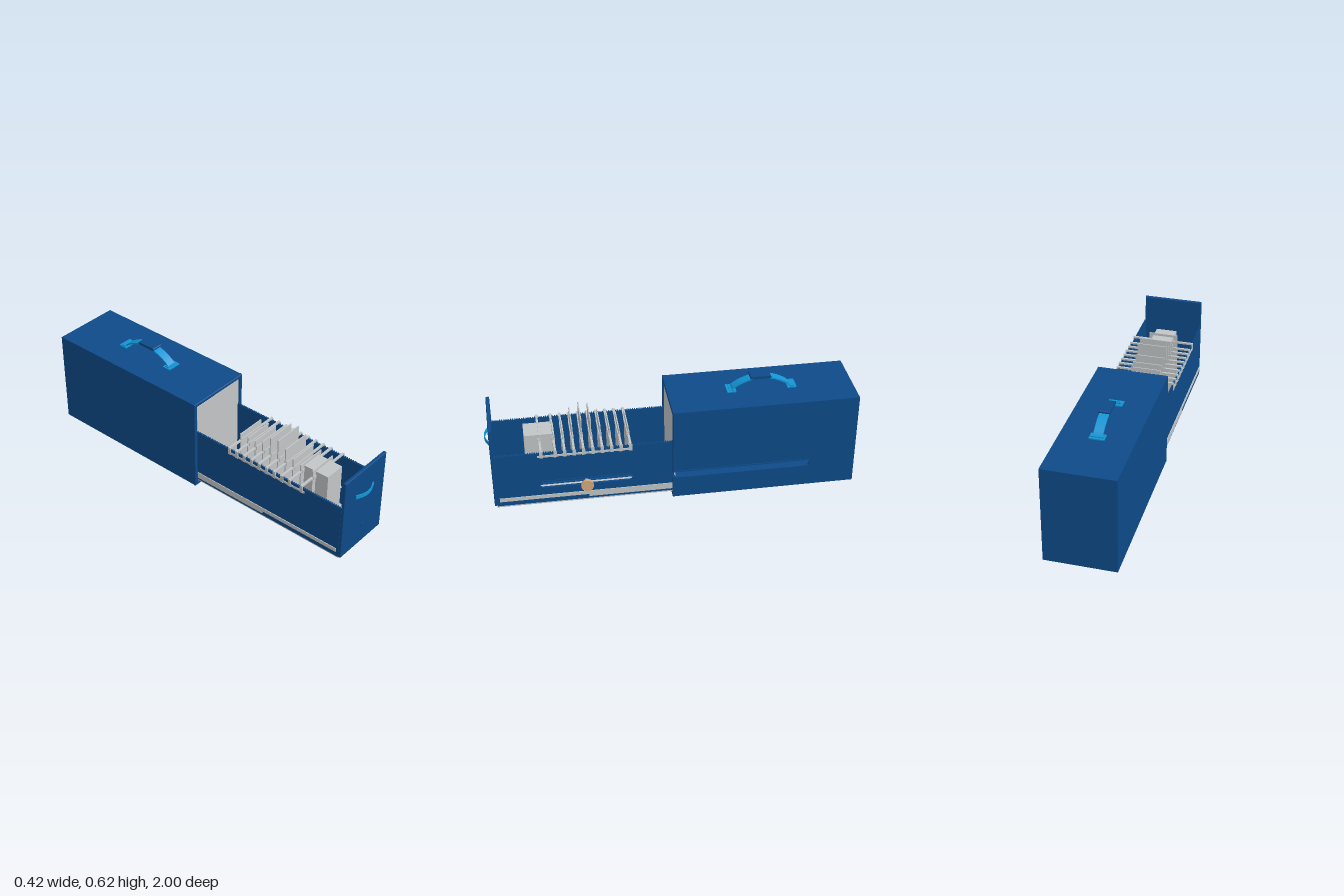
import * as THREE from 'three';

const paint = (name, color, side = THREE.FrontSide) => {
  const m = new THREE.MeshStandardMaterial({ color, side });
  m.name = name;
  return m;
};

export function createModel() {
  const root = new THREE.Group();
  root.name = 'cardFileBox';
  const blue = paint('deep blue', 0x0d4a88);
  const sky = paint('bright blue', 0x1296d4);
  const grey = paint('light grey', 0xc2c5c7);
  const tan = paint('tan', 0xd2aa7c);

  const group = (name) => {
    const g = new THREE.Group();
    g.name = name;
    root.add(g);
    return g;
  };
  const add = (parent, name, geo, mat, x = 0, y = 0, z = 0) => {
    const m = new THREE.Mesh(geo, mat);
    m.name = name;
    m.position.set(x, y, z);
    parent.add(m);
    return m;
  };
  // Box given by its limits on each axis
  const box = (parent, name, mat, x0, x1, y0, y1, z0, z1) =>
    add(parent, name, new THREE.BoxGeometry(x1 - x0, y1 - y0, z1 - z0), mat,
      (x0 + x1) / 2, (y0 + y1) / 2, (z0 + z1) / 2);
  // Plate drawn in (z, y); its outer face sits at x, its thickness goes towards -x
  const sidePlate = (parent, name, shape, depth, mat, x) =>
    add(parent, name, new THREE.ExtrudeGeometry(shape, { depth, bevelEnabled: false, curveSegments: 8 })
      .rotateY(-Math.PI / 2), mat, x);
  const stadium = (path, z0, z1, y, r) => {
    path.moveTo(z0 + r, y - r);
    path.lineTo(z1 - r, y - r);
    path.absarc(z1 - r, y, r, -Math.PI / 2, Math.PI / 2, false);
    path.lineTo(z0 + r, y + r);
    path.absarc(z0 + r, y, r, Math.PI / 2, Math.PI * 1.5, false);
    return path;
  };
  const polygon = (pts) => new THREE.Shape(pts.map(([x, y]) => new THREE.Vector2(x, y)));

  // Outer case, open at the front
  const shell = group('case');
  box(shell, 'caseFloor', blue, -0.208, 0.178, 0.003, 0.02, -1, 0);
  box(shell, 'caseTop', blue, -0.208, 0.178, 0.528, 0.545, -1, 0);
  box(shell, 'caseLeftWall', blue, -0.208, -0.193, 0.02, 0.528, -1, 0);
  box(shell, 'caseBack', blue, -0.193, 0.163, 0.02, 0.528, -1, -0.985);
  const slotY = 0.15, slotR = 0.02;
  const wall = new THREE.Shape();
  wall.moveTo(0, 0.02);
  wall.lineTo(0, slotY - slotR);
  wall.lineTo(-0.73, slotY - slotR);
  wall.absarc(-0.73, slotY, slotR, -Math.PI / 2, Math.PI / 2, true);
  wall.lineTo(0, slotY + slotR);
  wall.lineTo(0, 0.528);
  wall.lineTo(-0.985, 0.528);
  wall.lineTo(-0.985, 0.02);
  sidePlate(shell, 'slottedWall', wall, 0.015, blue, 0.178);
  box(shell, 'wallRearEdge', blue, 0.163, 0.178, 0.02, 0.528, -1, -0.985);

  // Raised lip around the case slot
  const lip = new THREE.Shape();
  lip.moveTo(0, slotY - 0.024);
  lip.lineTo(-0.73, slotY - 0.024);
  lip.absarc(-0.73, slotY, 0.024, -Math.PI / 2, Math.PI / 2, true);
  lip.lineTo(0, slotY + 0.024);
  lip.lineTo(0, slotY + 0.018);
  lip.lineTo(-0.73, slotY + 0.018);
  lip.absarc(-0.73, slotY, 0.018, Math.PI / 2, -Math.PI / 2, false);
  lip.lineTo(0, slotY - 0.018);
  sidePlate(shell, 'slotLip', lip, 0.006, blue, 0.183);

  // Rounded front rim, broken where the slot runs out
  const rim = polygon([
    [0.174, 0.13], [0.174, 0.007], [-0.204, 0.007], [-0.204, 0.541], [0.174, 0.541], [0.174, 0.17],
    [0.163, 0.17], [0.163, 0.53], [-0.193, 0.53], [-0.193, 0.018], [0.163, 0.018], [0.163, 0.13],
  ]);
  add(shell, 'frontRim', new THREE.ExtrudeGeometry(rim, {
    depth: 0.006, bevelEnabled: true, bevelThickness: 0.005, bevelSize: 0.005, bevelSegments: 3,
  }), blue, 0, 0, 0);

  // Carrying handle: bent strap, feet and grip
  const handle = group('carryHandle');
  const arch = (u) => [-0.33 - 0.33 * u, 0.552 + 0.066 * Math.pow(Math.sin(Math.PI * u), 0.75)];
  const outer = [], inner = [];
  for (let i = 0; i <= 24; i++) {
    const [z, y] = arch(i / 24);
    outer.push([z, y]);
    inner.unshift([z + (i / 24 < 0.5 ? -0.004 : 0.004), y - 0.007]);
  }
  sidePlate(handle, 'strap', polygon([...outer, ...inner]), 0.05, sky, 0.01);
  for (const z of [-0.335, -0.665]) {
    box(handle, 'foot', sky, -0.055, 0.025, 0.545, 0.551, z - 0.025, z + 0.025);
    box(handle, 'footBar', sky, -0.048, 0.018, 0.551, 0.556, z - 0.012, z + 0.012);
  }
  const grip = new THREE.ExtrudeGeometry(stadium(new THREE.Shape(), -0.55, -0.435, 0.618, 0.008),
    { depth: 0.06, bevelEnabled: false }).rotateY(-Math.PI / 2);
  add(handle, 'grip', grip, blue, 0.015);

  // Drawer body
  const drawer = group('drawer');
  box(drawer, 'drawerFloor', grey, -0.185, 0.16, 0.028, 0.042, 0, 0.96);
  box(drawer, 'floorStripe', blue, -0.044, 0.013, 0.042, 0.047, 0, 0.955);
  box(drawer, 'floorRail', grey, -0.165, -0.14, 0.042, 0.07, 0, 0.94);
  box(drawer, 'backPanel', grey, -0.18, 0.158, 0.03, 0.515, -0.008, 0.002);
  const front = polygon([[-0.181, 0.04], [0.153, 0.04], [0.153, 0.512], [-0.181, 0.512]]);
  add(drawer, 'frontPanel', new THREE.ExtrudeGeometry(front, {
    depth: 0.012, bevelEnabled: true, bevelThickness: 0.004, bevelSize: 0.004, bevelSegments: 2,
  }), blue, 0, 0, 0.958);

  // Side walls with a finely toothed top edge; the +x wall is slotted
  const makeSide = (slotted) => {
    const pts = [[0.958, 0.036], [0.958, 0.355]];
    for (let z = 0.95; z > 0.005; z -= 0.012) {
      pts.push([z, 0.355], [z, 0.361], [z - 0.006, 0.361], [z - 0.006, 0.355]);
    }
    pts.push([0, 0.355], [0, 0.036]);
    const s = polygon(pts);
    if (slotted) s.holes.push(stadium(new THREE.Path(), 0.225, 0.725, 0.152, 0.017));
    return s;
  };
  sidePlate(drawer, 'leftSide', makeSide(true), 0.008, blue, 0.161);
  sidePlate(drawer, 'rightSide', makeSide(false), 0.008, blue, -0.179);
  const bezel = stadium(new THREE.Shape(), 0.217, 0.733, 0.152, 0.025);
  bezel.holes.push(stadium(new THREE.Path(), 0.225, 0.725, 0.152, 0.017));
  sidePlate(drawer, 'slotBezel', bezel, 0.005, blue, 0.165);
  for (const [a, b] of [[0.161, 0.165], [-0.191, -0.187]]) {
    box(drawer, 'rearRunner', grey, a, b, 0.05, 0.086, 0, 0.465);
    box(drawer, 'frontRunner', grey, a, b, 0.064, 0.086, 0.465, 0.945);
    box(drawer, 'hangerRail', grey, a, b, 0.331, 0.343, 0.225, 0.73);
  }

  // Bowed pull and lock on the drawer front
  const pull = new THREE.Shape();
  pull.moveTo(-0.09, 0.974);
  pull.quadraticCurveTo(-0.015, 1.022, 0.06, 0.974);
  pull.lineTo(0.05, 0.974);
  pull.quadraticCurveTo(-0.015, 1.014, -0.08, 0.974);
  add(drawer, 'pull', new THREE.ExtrudeGeometry(pull, { depth: 0.022, bevelEnabled: false })
    .rotateX(Math.PI / 2), sky, 0, 0.387, 0);
  for (const x of [-0.084, 0.054]) box(drawer, 'pullEnd', sky, x - 0.006, x + 0.006, 0.364, 0.388, 0.973, 0.978);
  add(drawer, 'lock', new THREE.CylinderGeometry(0.011, 0.011, 0.004, 24).rotateX(Math.PI / 2),
    blue, -0.015, 0.153, 0.975);

  // Clamp knob
  const knob = group('clampKnob');
  const turned = (name, r, x0, x1) =>
    add(knob, name, new THREE.CylinderGeometry(r, r, x1 - x0, 32).rotateZ(Math.PI / 2), tan,
      (x0 + x1) / 2, 0.15, 0.475);
  turned('rod', 0.007, -0.12, 0.16);
  turned('stem', 0.013, 0.158, 0.193);
  turned('head', 0.034, 0.191, 0.207);

  // Hanging cards: crossbar, end hooks and card
  const cards = group('cards');
  const hangers = [[0.235, 0.41], [0.285, 0.41], [0.335, 0.415], [0.385, 0.435], [0.435, 0.48],
    [0.485, 0.49], [0.535, 0.46], [0.585, 0.42], [0.635, 0.41], [0.71, 0.41]];
  for (const [z, top] of hangers) {
    box(cards, 'crossbar', grey, -0.192, 0.167, 0.361, 0.371, z - 0.006, z + 0.006);
    box(cards, 'barSleeve', grey, -0.095, 0.062, 0.356, 0.376, z - 0.008, z + 0.008);
    for (const x of [-0.192, 0.161]) {
      box(cards, 'hook', grey, x, x + 0.006, 0.328, 0.366, z - 0.009, z + 0.009);
    }
    box(cards, 'card', grey, -0.1, 0.07, 0.1, top, z - 0.003, z + 0.003);
  }
  box(cards, 'cardBlock', grey, -0.075, 0.045, 0.12, 0.396, 0.64, 0.79);
  return root;
}
